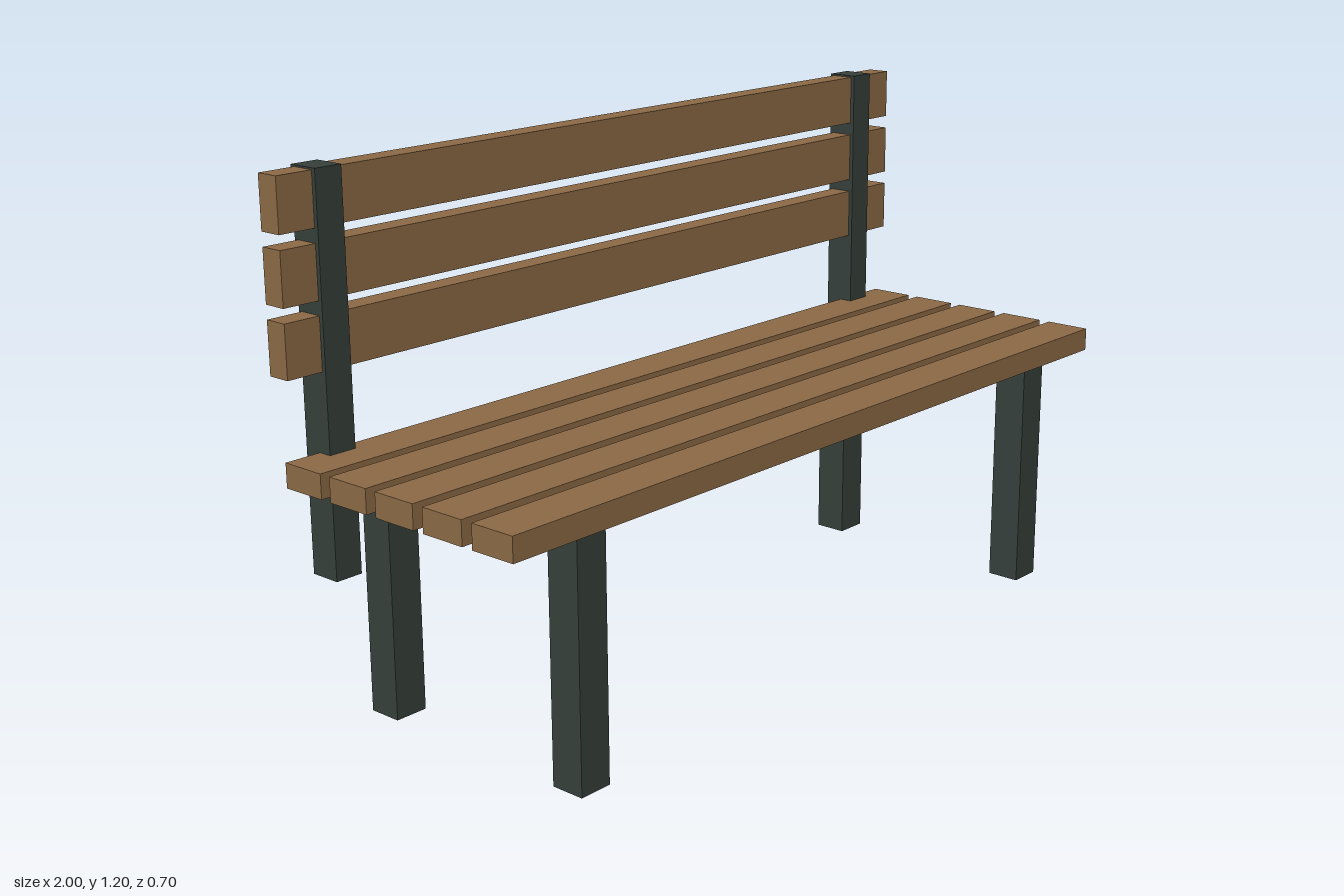
import * as THREE from 'three';

export function createModel() {
  const bench = new THREE.Group();
  bench.name = 'bench';
  const wood = new THREE.MeshStandardMaterial({ color: 0x8b6945 });
  const iron = new THREE.MeshStandardMaterial({ color: 0x353f3a });

  const addBox = (name, material, size, position) => {
    const mesh = new THREE.Mesh(new THREE.BoxGeometry(...size), material);
    mesh.name = name;
    mesh.position.set(...position);
    bench.add(mesh);
  };

  // Seat: five planks, front to back
  for (let i = 0; i < 5; i++) {
    addBox('seatSlat', wood, [2, 0.055, 0.11], [0, 0.578, 0.298 - i * 0.138]);
  }

  // Backrest: three upright planks
  for (let i = 0; i < 3; i++) {
    addBox('backSlat', wood, [2, 0.118, 0.055], [0, 0.841 + i * 0.149, -0.314]);
  }

  // Legs and backrest posts, mirrored left and right
  for (const side of [1, -1]) {
    addBox('frontLeg', iron, [0.08, 0.55, 0.08], [side * 0.78, 0.275, 0.3]);
    addBox('backLeg', iron, [0.08, 0.55, 0.08], [side * 0.78, 0.275, -0.252]);
    addBox('backPost', iron, [0.067, 0.874, 0.075], [side * 0.878, 0.765, -0.314]);
  }

  return bench;
}
